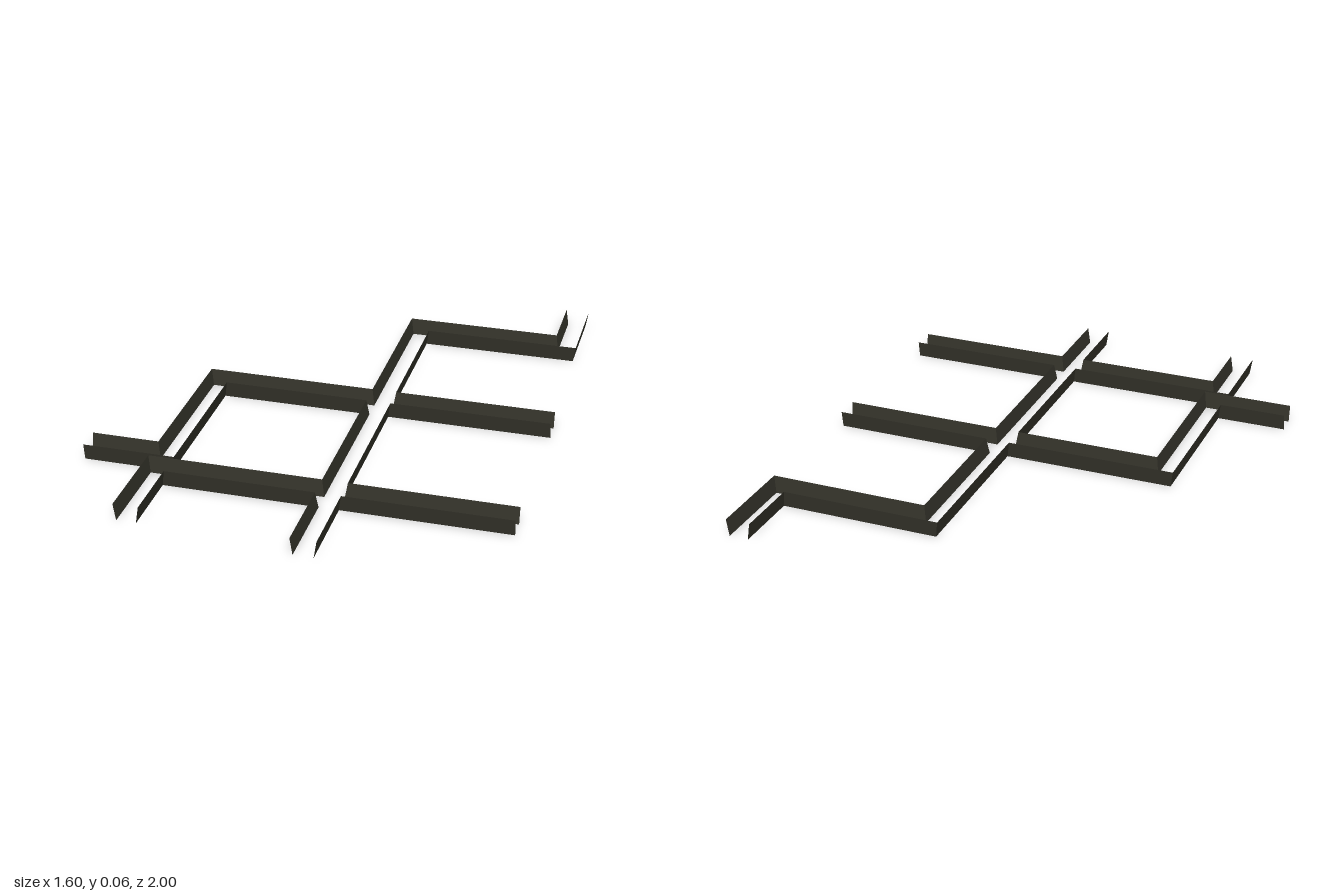
import * as THREE from 'three';

const HEIGHT = 0.064;
const LEAN = 0.005; // half of the sideways lean between foot and rim

// Wall sheet along an axis-aligned path of [x, z] points; side says which way the rim leans out
function wallGeometry(path, side) {
  const normals = path.slice(1).map(([x, z], i) => {
    const dx = x - path[i][0], dz = z - path[i][1];
    return [-Math.sign(dz) * side, Math.sign(dx) * side];
  });
  const last = normals.length - 1;
  const corner = (i, up) => {
    const a = normals[Math.max(i - 1, 0)], b = normals[Math.min(i, last)];
    const mitre = a === b ? a : [a[0] + b[0], a[1] + b[1]];
    const d = up ? LEAN : -LEAN;
    return [path[i][0] + mitre[0] * d, up ? HEIGHT : 0, path[i][1] + mitre[1] * d];
  };
  const positions = [];
  for (let i = 0; i <= last; i++) {
    const a = corner(i, false), b = corner(i + 1, false);
    const c = corner(i + 1, true), d = corner(i, true);
    const quad = side > 0 ? [a, d, c, a, c, b] : [a, b, c, a, c, d];
    positions.push(...quad.flat());
  }
  const geometry = new THREE.BufferGeometry();
  geometry.setAttribute('position', new THREE.Float32BufferAttribute(positions, 3));
  geometry.computeVertexNormals();
  return geometry;
}

export function createModel() {
  const group = new THREE.Group();
  group.name = 'passageWalls';
  const stone = new THREE.MeshStandardMaterial({ color: 0x34332a, side: THREE.DoubleSide });
  stone.name = 'dark stone';

  // Lines shared by the corridors
  const x0 = -0.541, x1 = -0.459, x2 = 0.104, x3 = 0.187;
  const z0 = -0.097, z1 = -0.013, z2 = 0.607, z3 = 0.689;

  const walls = [
    // Long stepped wall on the back left
    ['backLeftWall', 1, [[0.703, -1], [0.703, -0.745], [x2, -0.745], [x2, z0], [x0, z0], [x0, 0.503], [-0.8, 0.503]]],
    // Stepped wall on the back right
    ['backRightWall', -1, [[0.785, -1], [0.785, -0.66], [x3, -0.66], [x3, z0], [0.8, z0]]],
    // Block between the two passages on the right
    ['rightBlockWall', -1, [[0.8, z1], [x3, z1], [x3, z2], [0.8, z2]]],
    // Middle block, with its two outlets on the left
    ['middleBlockWall', 1, [[-0.8, 0.585], [x1, 0.585], [x1, z1], [x2, z1], [x2, z2], [x0, z2], [x0, 0.95]]],
    // Front pair
    ['frontBlockWall', 1, [[x1, 0.95], [x1, z3], [x2, z3], [x2, 1]]],
    ['frontRightWall', 1, [[x3, 1], [x3, z3], [0.8, z3]]],
  ];
  for (const [name, side, path] of walls) {
    const mesh = new THREE.Mesh(wallGeometry(path, side), stone);
    mesh.name = name;
    group.add(mesh);
  }
  return group;
}
